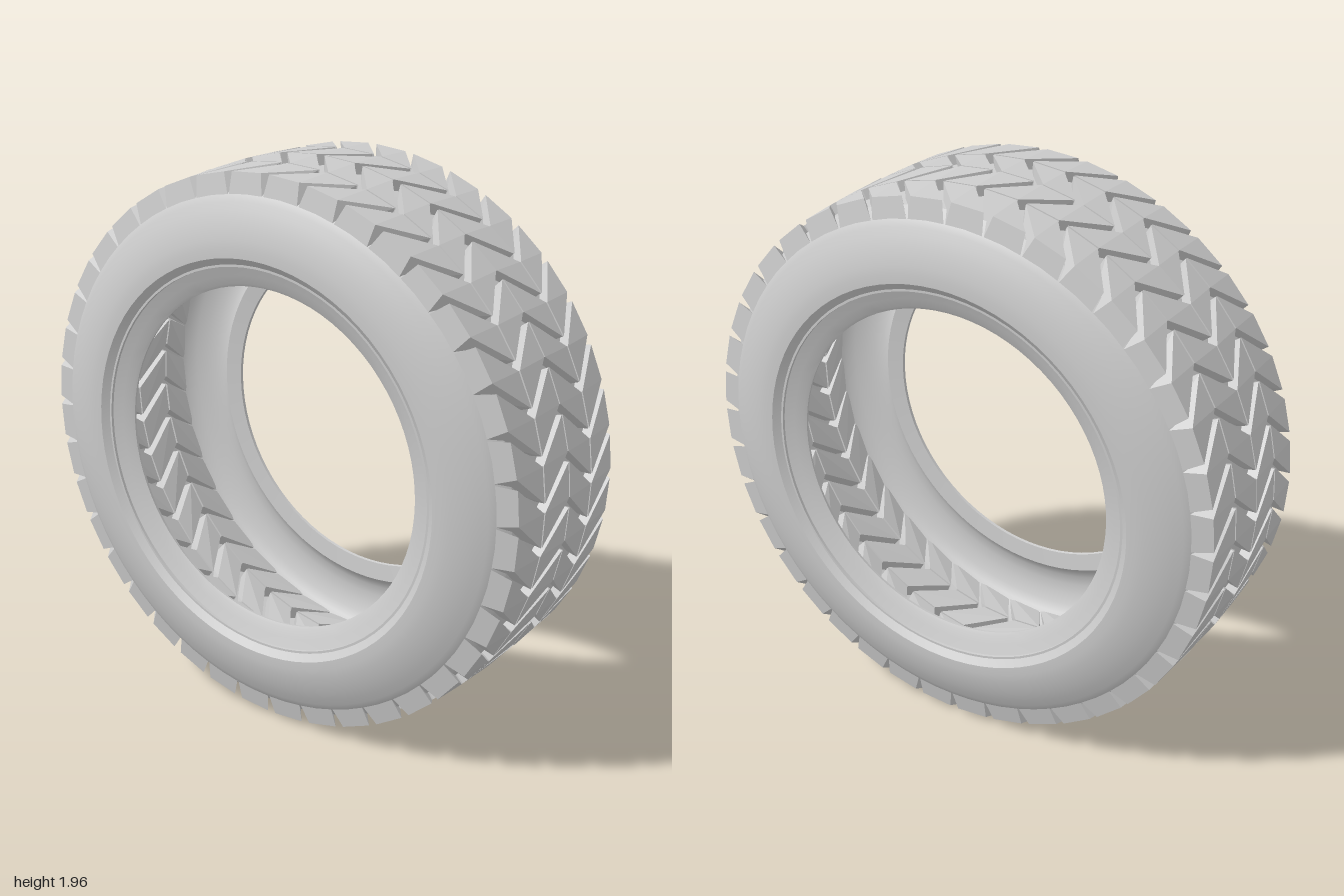
import * as THREE from 'three';
import { mergeGeometries, toCreasedNormals } from 'three/addons/utils/BufferGeometryUtils.js';
import { ConvexGeometry } from 'three/addons/geometries/ConvexGeometry.js';

const BLOCKS = 40;
const PITCH = (Math.PI * 2) / BLOCKS;
const LEAN = 0.125;              // angle a block leans across its row
const HALF = PITCH * 0.39;       // half the angle a block fills

// point at an angle around the wheel, at a radius and a position along the axle
const polar = (angle, r, a) => new THREE.Vector3(Math.cos(angle) * r, Math.sin(angle) * r, a);

// four corners of one end of a block, given its top and bottom edge
function endFace(angle, top, bottom) {
  return [top, bottom].flatMap(({ r, a, half }) =>
    [polar(angle - half, r, a), polar(angle + half, r, a)]);
}

// ring of slanted blocks made by turning one block around the axle
function blockRow(corners) {
  const block = new ConvexGeometry(corners);
  const parts = [];
  for (let i = 0; i < BLOCKS; i++) parts.push(block.clone().rotateZ((i + 0.5) * PITCH));
  return mergeGeometries(parts);
}

export function createModel() {
  const group = new THREE.Group();
  group.name = 'tyre';
  const material = new THREE.MeshStandardMaterial({ color: 0xcccccc });
  const add = (name, geometry) => {
    const mesh = new THREE.Mesh(geometry, material);
    mesh.name = name;
    group.add(mesh);
  };

  // carcass, a thin shell: half profile as [radius, axial], tread floor, sidewall, bead, liner
  const half = [
    [0.94, 0], [0.938, 0.15], [0.932, 0.27], [0.895, 0.307],
    [0.875, 0.317], [0.85, 0.329], [0.82, 0.341], [0.79, 0.350], [0.76, 0.357], [0.73, 0.361], [0.70, 0.361],
    [0.676, 0.342], [0.668, 0.342], [0.668, 0.332], [0.635, 0.318], [0.605, 0.306],
    [0.595, 0.30], [0.597, 0.29], [0.66, 0.282], [0.68, 0.305],
    [0.71, 0.32], [0.75, 0.325], [0.79, 0.319], [0.83, 0.306], [0.862, 0.288], [0.885, 0.26], [0.897, 0.22],
    [0.903, 0.15], [0.905, 0],
  ];
  const mirrored = half.slice(0, -1).reverse().map(([r, a]) => [r, -a]);
  const profile = [...half, ...mirrored].map(([r, a]) => new THREE.Vector2(r, a));
  add('carcass', toCreasedNormals(new THREE.LatheGeometry(profile, 80).rotateX(Math.PI / 2), 0.5));

  // tread: a shoulder row and a centre row on each side, mirrored into a zigzag
  for (const side of [1, -1]) {
    const label = side > 0 ? 'front' : 'back';

    // shoulder blocks: outer face runs into the sidewall, grooves there narrow to a point
    add(label + 'ShoulderBlocks', blockRow([
      ...endFace(0, { r: 0.967, a: side * 0.291, half: HALF }, { r: 0.88, a: side * 0.309, half: PITCH / 2 }),
      ...endFace(-LEAN, { r: 0.974, a: side * 0.151, half: HALF }, { r: 0.85, a: side * 0.151, half: HALF }),
    ]));

    // centre blocks reach through the liner
    add(label + 'CentreBlocks', blockRow([
      ...endFace(-LEAN, { r: 0.974, a: side * 0.144, half: HALF }, { r: 0.85, a: side * 0.144, half: HALF }),
      ...endFace(0, { r: 0.978, a: side * 0.003, half: HALF }, { r: 0.85, a: side * 0.003, half: HALF }),
    ]));
  }

  // slightly steered, standing on the ground
  group.rotation.y = 0.166;
  group.position.y = 0.976;
  return group;
}
